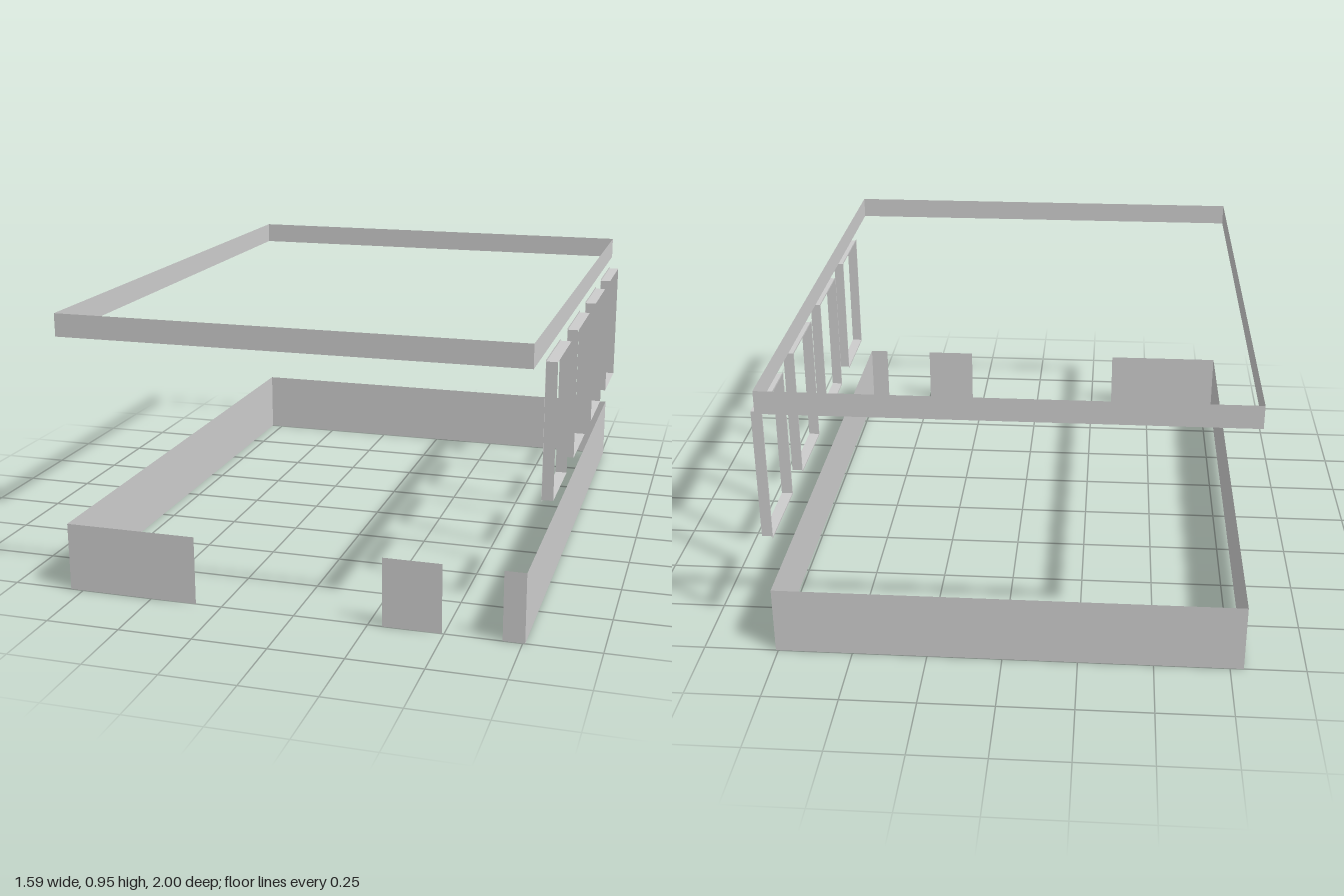
import * as THREE from 'three';

const material = new THREE.MeshStandardMaterial({ color: 0xcccccc, side: THREE.DoubleSide, flatShading: true });

// Upright band of thin wall following [x, z] floor points
function wall(name, points, y0, y1) {
  const pos = [];
  for (let i = 0; i < points.length - 1; i++) {
    const [ax, az] = points[i], [bx, bz] = points[i + 1];
    pos.push(ax, y0, az, bx, y0, bz, bx, y1, bz, ax, y0, az, bx, y1, bz, ax, y1, az);
  }
  const geo = new THREE.BufferGeometry();
  geo.setAttribute('position', new THREE.Float32BufferAttribute(pos, 3));
  geo.computeVertexNormals();
  const mesh = new THREE.Mesh(geo, material);
  mesh.name = name;
  return mesh;
}

// Window surround: four thin reveal boards and a narrow flange against the wall
function windowFrame(name, width, height, depth) {
  const frame = new THREE.Group();
  frame.name = name;
  const lip = 0.006, w = width / 2, h = height / 2, iw = w - lip, ih = h - lip;

  const rect = (Type, a, b) => new Type([[-a, -b], [a, -b], [a, b], [-a, b]].map(p => new THREE.Vector2(...p)));
  const shape = rect(THREE.Shape, w, h);
  shape.holes.push(rect(THREE.Path, iw, ih));
  const flange = new THREE.Mesh(new THREE.ShapeGeometry(shape), material);
  flange.name = 'windowFlange';
  flange.rotation.y = Math.PI / 2;
  frame.add(flange);

  for (const s of [-1, 1]) {
    const post = new THREE.Mesh(new THREE.PlaneGeometry(depth, ih * 2), material);
    post.position.set(depth / 2, 0, s * iw);
    post.name = 'windowPost';
    const rail = new THREE.Mesh(new THREE.PlaneGeometry(depth, iw * 2), material);
    rail.rotation.x = -Math.PI / 2;
    rail.position.set(depth / 2, s * ih, 0);
    rail.name = 'windowRail';
    frame.add(post, rail);
  }
  return frame;
}

export function createModel() {
  const model = new THREE.Group();
  model.name = 'roomTrim';
  const L = -0.795, R = 0.758;

  // Lower wall band with door gaps along the front
  model.add(wall('lowerWall', [[-0.34, 1], [L, 1], [L, -1], [R, -1], [R, 1], [0.687, 1]], 0, 0.235));
  model.add(wall('frontWallPanel', [[0.298, 1], [0.493, 1]], 0, 0.235));

  // Closed upper band
  model.add(wall('upperBand', [[L, 1], [L, -1], [R, -1], [R, 1], [L, 1]], 0.877, 0.954));

  // Row of windows on the left wall
  for (let i = 0; i < 4; i++) {
    const frame = windowFrame('windowFrame' + (i + 1), 0.304, 0.466, 0.037);
    frame.position.set(R, 0.616, 0.616 - i * 0.461);
    model.add(frame);
  }
  return model;
}
